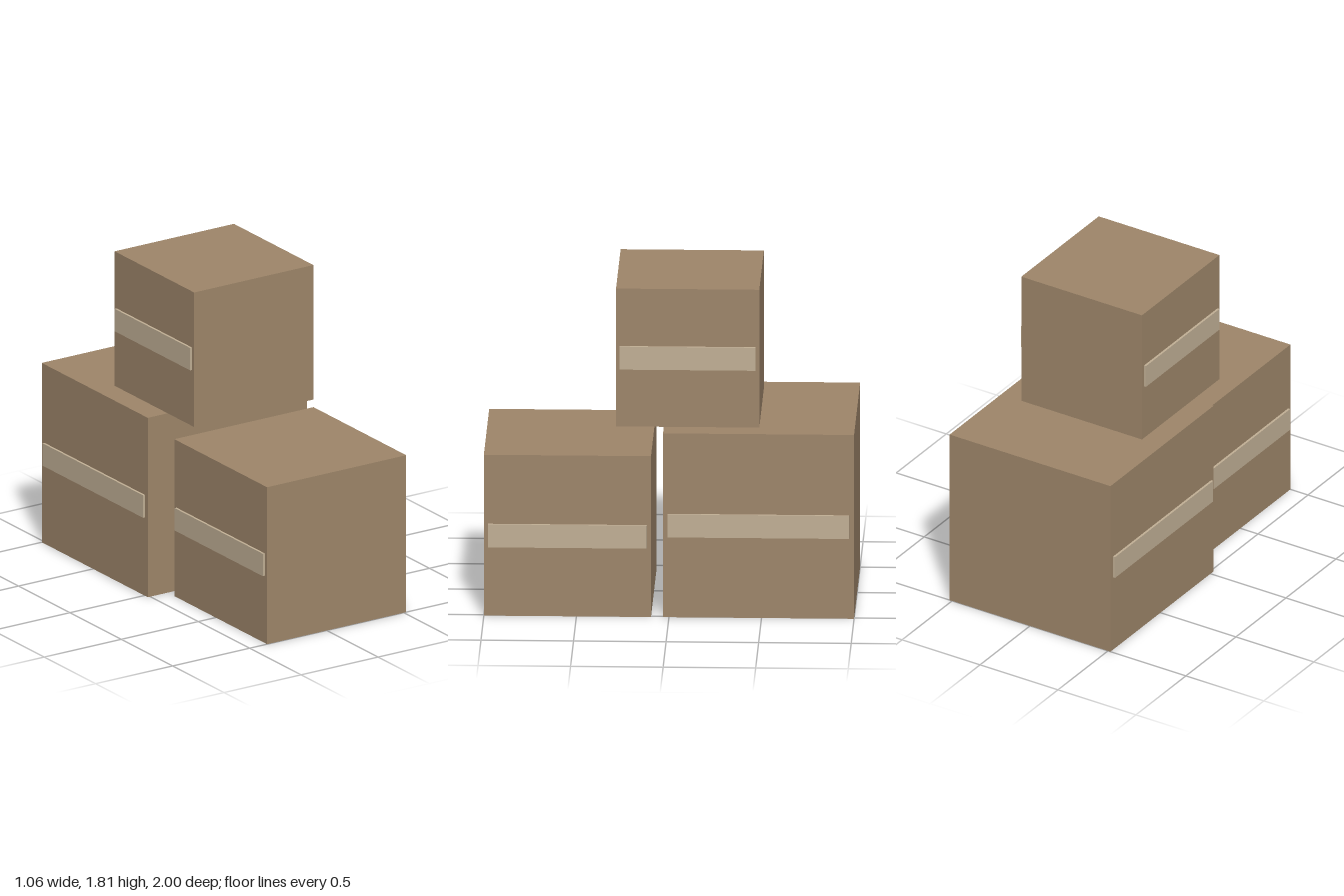
import * as THREE from 'three';

const cardboard = new THREE.MeshStandardMaterial({ color: 0x9e866a });
cardboard.name = 'cardboard';
const tapeTan = new THREE.MeshStandardMaterial({ color: 0xc1af95 });
tapeTan.name = 'tapeTan';

const TAPE_HEIGHT = 0.129;
const TAPE_DEPTH = 0.013;

function block(name, material, size, position) {
  const mesh = new THREE.Mesh(new THREE.BoxGeometry(...size), material);
  mesh.name = name;
  mesh.position.set(...position);
  return mesh;
}

// Cubic carton standing on its group's origin, with a tape strip on each side
function createCarton(name, size, x, y, z) {
  const carton = new THREE.Group();
  carton.name = name;
  carton.position.set(x, y, z);
  carton.add(block('carton', cardboard, [size, size, size], [0, size / 2, 0]));
  for (const [side, sign] of [['left', 1], ['right', -1]]) {
    carton.add(block(side + 'Tape', tapeTan, [TAPE_DEPTH, TAPE_HEIGHT, size * 0.95],
      [sign * (size + TAPE_DEPTH) / 2, size / 2, 0]));
  }
  return carton;
}

export function createModel() {
  const model = new THREE.Group();
  model.name = 'cartonStack';
  model.add(
    createCarton('backCarton', 1.032, 0, 0, -0.484),
    createCarton('frontCarton', 0.903, 0.0645, 0, 0.5485),
    createCarton('topCarton', 0.774, 0, 1.032, -0.097),
  );
  return model;
}
